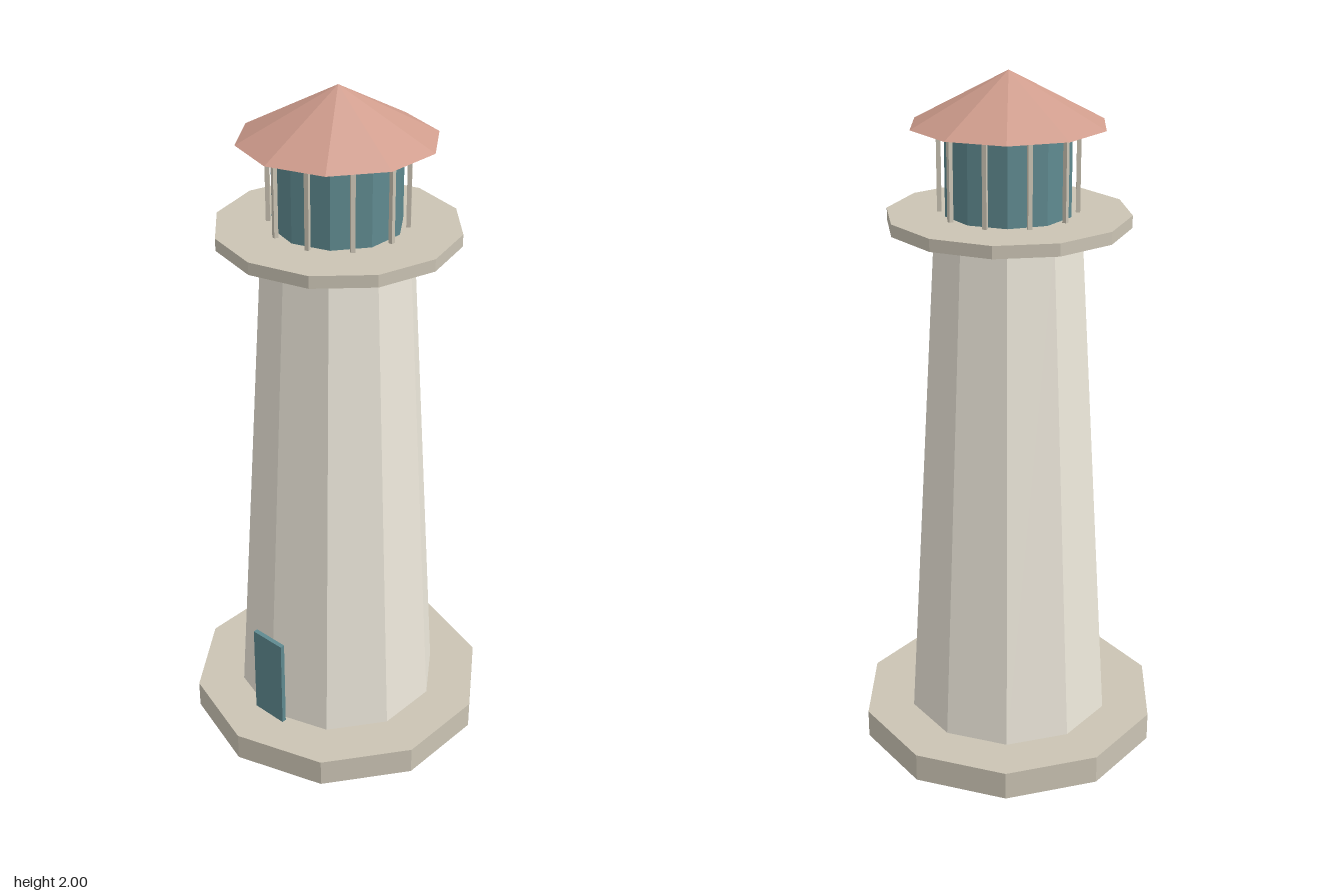
import * as THREE from 'three';

const material = (color) => new THREE.MeshStandardMaterial({ color, flatShading: true });

export function createModel() {
  const group = new THREE.Group();
  const wall = material(0xede8db);
  const stone = material(0xcbc4b4);
  const teal = material(0x5f8a90);
  const red = material(0xcf9c8c);

  const add = (name, geometry, mat, x, y, z) => {
    const mesh = new THREE.Mesh(geometry, mat);
    mesh.name = name;
    mesh.position.set(x, y, z);
    group.add(mesh);
    return mesh;
  };

  // Faceted tapering drum between two heights, one corner facing +z
  const drum = (name, rBottom, rTop, y0, y1, sides, mat) =>
    add(name, new THREE.CylinderGeometry(rTop, rBottom, y1 - y0, sides), mat, 0, (y0 + y1) / 2, 0);

  drum('base', 0.447, 0.447, 0, 0.085, 10, stone);
  drum('tower', 0.304, 0.212, 0.085, 1.58, 10, wall);
  drum('gallery', 0.34, 0.34, 1.58, 1.615, 12, stone);
  drum('lanternGlass', 0.18, 0.18, 1.615, 1.855, 10, teal);

  // Roof
  add('roof', new THREE.ConeGeometry(0.273, 0.145, 10), red, 0, 1.9275, 0);

  // Door panel at the front
  add('door', new THREE.BoxGeometry(0.113, 0.29, 0.014), teal, 0, 0.23, 0.305);

  // Lantern bars, one in front of each pane
  const barGeometry = new THREE.BoxGeometry(0.012, 0.24, 0.012);
  for (let i = 0; i < 10; i++) {
    const a = ((i + 0.5) / 10) * Math.PI * 2;
    add('lanternBar', barGeometry, stone, Math.sin(a) * 0.19, 1.735, Math.cos(a) * 0.19).rotation.y = a;
  }

  return group;
}
